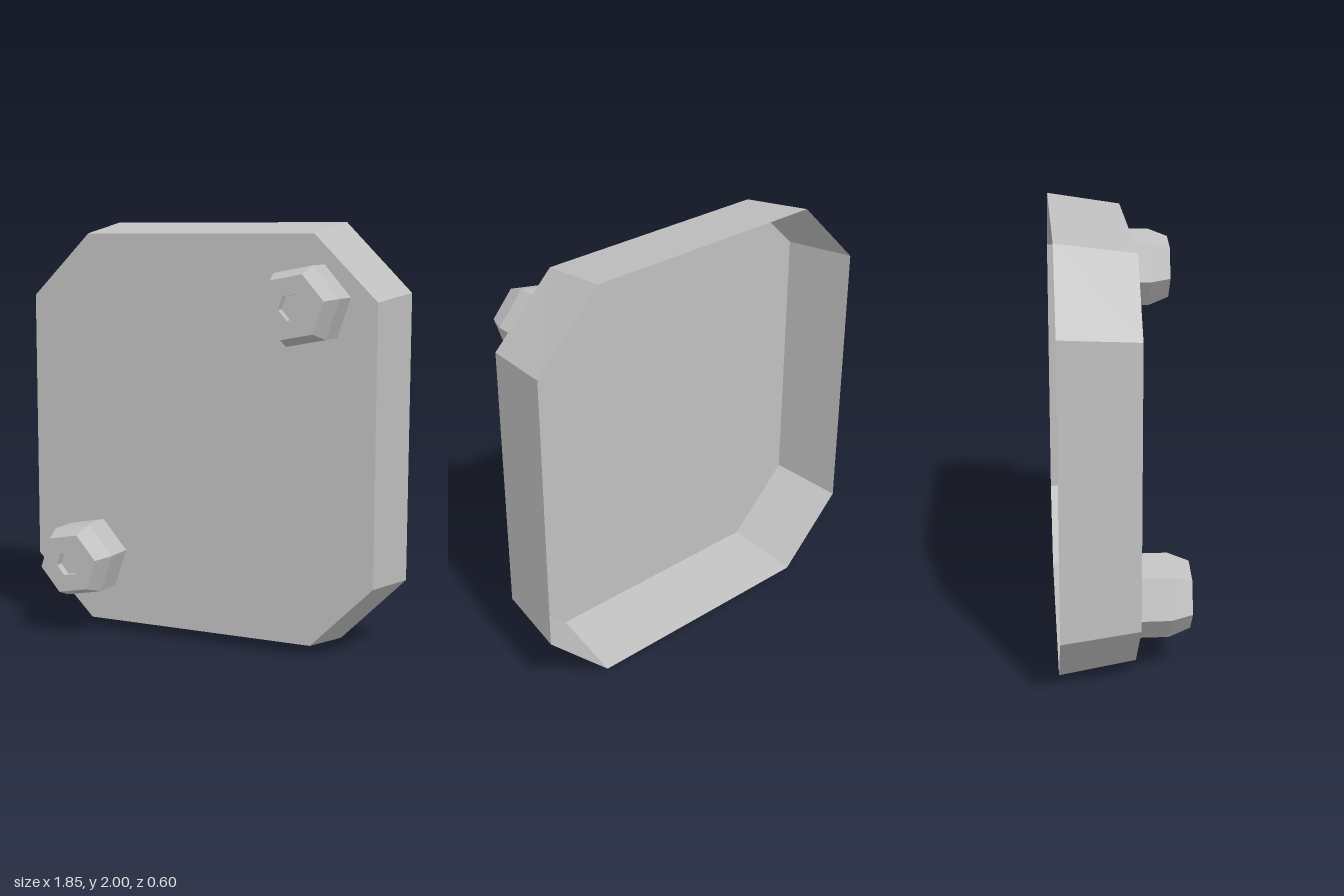
import * as THREE from 'three';

// chamfered rectangle outline, counter-clockwise; half sizes w, h, flat half lengths a (top) and b (side)
const outline = (w, h, a, b) => [
  [w, -b], [w, b], [a, h], [-a, h], [-w, b], [-w, -b], [-a, -h], [a, -h],
].map(([x, y]) => new THREE.Vector2(x, y + 1));

export function createModel() {
  const model = new THREE.Group();
  const metal = new THREE.MeshStandardMaterial({ color: 0xc0c0c0, flatShading: true, side: THREE.DoubleSide });
  metal.name = 'grey metal';

  const frontZ = 0.056, backZ = -0.298;
  const front = outline(0.882, 0.948, 0.58, 0.648);
  const back = outline(0.927, 1, 0.606, 0.677);

  // front plate
  const plate = new THREE.Mesh(new THREE.ShapeGeometry(new THREE.Shape(front)), metal);
  plate.position.z = frontZ;
  plate.name = 'frontPlate';
  model.add(plate);

  // flared rim, open at the back
  const pos = [];
  front.forEach((f, i) => {
    const j = (i + 1) % front.length;
    const a = [back[i].x, back[i].y, backZ], b = [back[j].x, back[j].y, backZ];
    const c = [front[j].x, front[j].y, frontZ], d = [f.x, f.y, frontZ];
    pos.push(...a, ...b, ...c, ...a, ...c, ...d);
  });
  const rimGeo = new THREE.BufferGeometry();
  rimGeo.setAttribute('position', new THREE.Float32BufferAttribute(pos, 3));
  rimGeo.computeVertexNormals();
  const rim = new THREE.Mesh(rimGeo, metal);
  rim.name = 'flaredRim';
  model.add(rim);

  // hexagonal bolts with a chamfered head and a hex socket
  const profile = [[0.191, 0], [0.191, 0.144], [0.152, 0.242], [0.062, 0.242], [0.062, 0.202], [0, 0.202]]
    .map(([r, y]) => new THREE.Vector2(r, y));
  const turn = THREE.MathUtils.degToRad(101);
  const boltGeo = new THREE.LatheGeometry(profile, 6, turn).rotateX(Math.PI / 2);
  [['upperBolt', 0.569, 1.631], ['lowerBolt', -0.574, 0.375]].forEach(([name, x, y]) => {
    const bolt = new THREE.Mesh(boltGeo, metal);
    bolt.name = name;
    bolt.position.set(x, y, frontZ);
    model.add(bolt);
  });
  return model;
}
